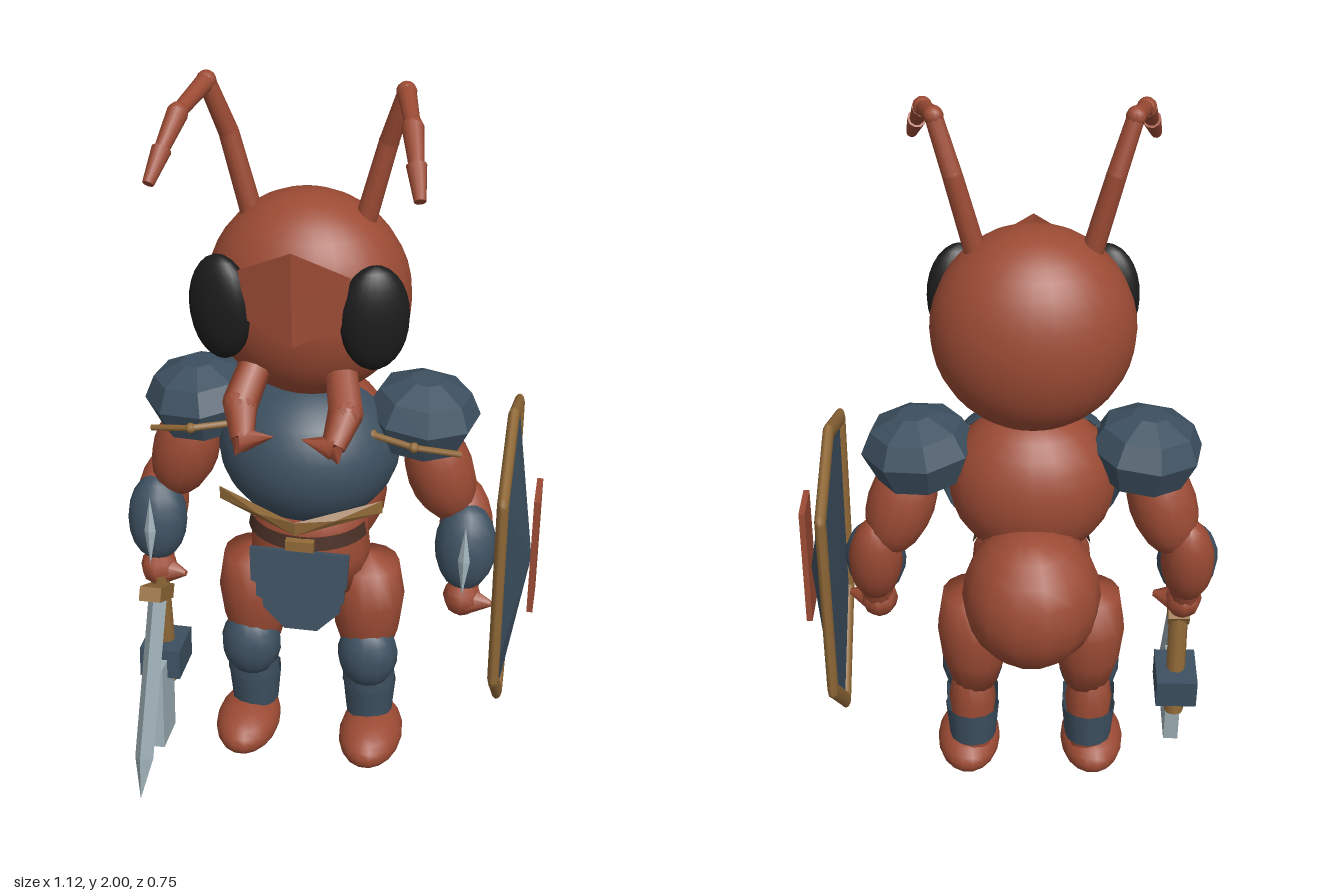
import * as THREE from 'three';

const paint = (name, color) => {
  const m = new THREE.MeshStandardMaterial({ color });
  m.name = name;
  return m;
};

export function createModel() {
  const red = paint('chitin red', 0x9c4b34);
  const blue = paint('armour blue', 0x3d5060);
  const gold = paint('trim gold', 0x926a38);
  const steel = paint('blade steel', 0x9fb0b8);
  const black = paint('eye black', 0x1c1c1c);
  const brown = paint('belt brown', 0x4a3026);
  for (const m of [blue, gold, red, brown]) m.side = THREE.DoubleSide;

  const root = new THREE.Group();
  root.name = 'antKnight';
  const body = new THREE.Group();
  body.name = 'body';
  body.position.x = -0.055;
  root.add(body);

  const V = (p) => new THREE.Vector3(...p);
  const add = (name, geo, mat, pos = [0, 0, 0], rot = [0, 0, 0]) => {
    const mesh = new THREE.Mesh(geo, mat);
    mesh.name = name;
    mesh.position.set(...pos);
    mesh.rotation.set(...rot);
    body.add(mesh);
    return mesh;
  };
  const flat = (geo) => {
    const g = geo.index ? geo.toNonIndexed() : geo;
    g.computeVertexNormals();
    return g;
  };
  const ball = (name, mat, pos, size, rot, seg = 16) =>
    add(name, new THREE.SphereGeometry(1, seg, Math.ceil(seg * 0.7)).scale(...size), mat, pos, rot);
  const box = (name, mat, pos, size, rot) => add(name, new THREE.BoxGeometry(...size), mat, pos, rot);
  // Tapered rod from a to b
  const rod = (name, mat, a, b, ra, rb, seg = 8) => {
    const d = V(b).sub(V(a));
    const mesh = add(name, new THREE.CylinderGeometry(rb, ra, d.length(), seg), mat);
    mesh.position.copy(V(a)).addScaledVector(d, 0.5);
    mesh.quaternion.setFromUnitVectors(new THREE.Vector3(0, 1, 0), d.normalize());
    return mesh;
  };
  const lathe = (pts, seg) => new THREE.LatheGeometry(pts.map((p) => new THREE.Vector2(...p)), seg);
  // Flat fan of triangles from a centre through a closed ring
  const fan = (centre, ring) => {
    const out = [];
    ring.forEach((p, i) => out.push(...centre, ...p, ...ring[(i + 1) % ring.length]));
    const g = new THREE.BufferGeometry();
    g.setAttribute('position', new THREE.Float32BufferAttribute(out, 3));
    g.computeVertexNormals();
    return g;
  };

  // Head, forehead plate
  ball('head', red, [0, 1.433, -0.003], [0.26, 0.27, 0.215], undefined, 28);
  add('foreheadPlate', fan([0, 1.52, 0.232], [
    [0, 1.64, 0.232], [-0.137, 1.57, 0.195], [-0.115, 1.44, 0.2],
    [0, 1.39, 0.23], [0.115, 1.44, 0.2], [0.137, 1.57, 0.195]]), red);

  // Torso, abdomen and waist
  ball('thorax', red, [0, 1.0, -0.02], [0.22, 0.215, 0.18], undefined, 20);
  ball('abdomen', red, [0, 0.75, -0.19], [0.182, 0.2, 0.19], undefined, 14);
  add('waist', lathe([[0, 0.54], [0.15, 0.58], [0.165, 0.68], [0.155, 0.78], [0.12, 0.86], [0, 0.9]], 16), red)
    .scale.z = 0.85;
  add('breastplate', new THREE.SphereGeometry(1, 20, 14, 0, Math.PI).scale(0.24, 0.208, 0.225), blue,
    [0, 1.0, 0]);
  add('belt', new THREE.CylinderGeometry(0.16, 0.167, 0.04, 16, 1, true, -1.3, 2.6), brown, [0, 0.772, 0.005])
    .scale.z = 0.9;
  box('buckle', gold, [0, 0.772, 0.158], [0.075, 0.03, 0.02]);

  // Overlapping pointed skirt plates: half width, top, side and tip heights, depth
  [[0.133, 0.755, 0.66, 0.615, 0.175], [0.122, 0.68, 0.6, 0.555, 0.162], [0.108, 0.61, 0.555, 0.495, 0.148]]
    .forEach(([w, top, side, tip, z], i) => {
      const end = i === 2 ? 0.045 : 0.012;
      const outline = [[-w, 0], [-w * 0.97, side - top], [-end, tip - top], [end, tip - top],
        [w * 0.97, side - top], [w, 0]];
      const shape = new THREE.Shape(outline.map((p) => new THREE.Vector2(...p)));
      add('skirtPlate' + (i + 1), new THREE.ExtrudeGeometry(shape, { depth: 0.015, bevelEnabled: false }),
        blue, [0, top, z - 0.02], [-0.15, 0, 0]);
    });

  for (const s of [1, -1]) {
    const side = s > 0 ? 'left' : 'right';
    const P = (x, y, z) => [x * s, y, z];

    // Eye
    ball(side + 'Eye', black, P(0.19, 1.452, 0.158), [0.087, 0.138, 0.05], [0, 0.35 * s, 0], 20);

    // Antenna with knobbly tip
    const ant = [P(0.14, 1.63, 0), P(0.195, 1.84, -0.005), P(0.238, 1.975, 0.025), P(0.272, 1.945, 0.17),
      P(0.292, 1.885, 0.25), P(0.31, 1.825, 0.315)];
    const radii = [[0.028, 0.025], [0.025, 0.022], [0.023, 0.018], [0.026, 0.018], [0.024, 0.014]];
    radii.forEach(([a, b], i) => rod(side + 'Antenna' + (i + 1), red, ant[i], ant[i + 1], a, b, 10));
    for (const i of [1, 2, 3])
      ball(side + 'AntennaJoint' + i, red, ant[i], [0.025, 0.025, 0.025], undefined, 10);

    // Hooked mandible
    const jaw = [P(0.11, 1.29, 0.16), P(0.132, 1.225, 0.23), P(0.113, 1.165, 0.3)];
    rod(side + 'MandibleBase', red, jaw[0], jaw[1], 0.042, 0.045, 8);
    ball(side + 'MandibleKnuckle', red, jaw[1], [0.045, 0.045, 0.045], undefined, 8);
    rod(side + 'Mandible', red, jaw[1], jaw[2], 0.045, 0.03, 8);
    rod(side + 'MandibleTip', red, jaw[2], P(0.035, 1.18, 0.3), 0.032, 0.001, 6);
    rod(side + 'MandibleBarb', red, jaw[2], P(0.128, 1.13, 0.318), 0.03, 0.002, 6);

    // Faceted shoulder guard with gold cord
    const dome = lathe([[0, -0.085], [0.115, -0.085], [0.15, 0], [0.12, 0.06], [0.045, 0.095], [0, 0.095]], 8);
    dome.rotateY(0.2);
    add(side + 'ShoulderGuard', flat(dome), blue, P(0.295, 1.105, -0.025), [0, 0, -0.08 * s]);
    const cord = [P(0.18, 1.09, 0.095), P(0.29, 1.08, 0.125), P(0.405, 1.045, 0.08)];
    for (const i of [0, 1]) rod(side + 'ShoulderTrim' + i, gold, cord[i], cord[i + 1], 0.009, 0.009, 6);
    for (const i of [0, 1]) ball(side + 'ShoulderStud' + i, gold, cord[i], [0.014, 0.014, 0.014], undefined, 8);

    // Chevron across the chest
    add(side + 'ChestChevron', fan(P(0.1, 0.885, 0.2),
      [P(0, 0.845, 0.225), P(0.215, 0.885, 0.14), P(0.215, 0.922, 0.14), P(0, 0.887, 0.23)]), gold);

    // Arm, bracer and hand
    ball(side + 'UpperArm', red, P(0.345, 0.93, -0.025), [0.09, 0.155, 0.09], [0.1, 0, 0.3 * s], 14);
    ball(side + 'Forearm', red, P(0.42, 0.75, -0.03), [0.073, 0.145, 0.075], [-0.25, 0, 0.06 * s], 14);
    ball(side + 'Bracer', blue, P(0.424, 0.725, 0.015), [0.083, 0.125, 0.07], [-0.2, 0, 0], 14);
    add(side + 'BracerRidge', flat(new THREE.OctahedronGeometry(1).scale(0.016, 0.1, 0.016)), steel,
      P(0.427, 0.722, 0.088), [-0.15, 0, 0]);
    rod(side + 'Wrist', red, P(0.422, 0.66, 0.005), P(0.425, 0.58, 0.03), 0.045, 0.04, 10);
    ball(side + 'Hand', red, P(0.422, 0.575, 0.035), [0.052, 0.055, 0.055], undefined, 8);
    const hx = 0.422 * s;
    rod(side + 'Thumb', red, [hx + 0.025, 0.57, 0.045], [hx + 0.082, 0.575, 0.06], 0.038, 0.008, 6);

    // Leg, knee guard, greave and foot
    add(side + 'Thigh', lathe([[0, 0.32], [0.06, 0.32], [0.09, 0.42], [0.102, 0.52], [0.085, 0.63], [0, 0.66]], 14),
      red, P(0.158, 0, -0.01));
    add(side + 'Shin', lathe([[0.05, 0.08], [0.055, 0.15], [0.066, 0.27], [0.05, 0.38], [0, 0.4]], 12),
      red, P(0.165, 0, -0.015));
    ball(side + 'KneeGuard', blue, P(0.166, 0.347, 0.033), [0.085, 0.106, 0.075], undefined, 12);
    const greave = new THREE.CylinderGeometry(0.076, 0.066, 0.11, 12, 1, true);
    add(side + 'Greave', greave, blue, P(0.166, 0.18, -0.005));
    add(side + 'GreaveFront', new THREE.CylinderGeometry(0.076, 0.076, 0.06, 8, 1, true, -1.3, 2.6), blue,
      P(0.166, 0.26, -0.005));
    ball(side + 'Foot', red, P(0.179, 0.072, 0.04), [0.09, 0.068, 0.145], undefined, 18);
  }

  // Sword: tilted blade and guard
  const tilt = -0.52;
  const blade = lathe([[0, -0.575], [0.047, -0.46], [0.047, 0], [0, 0]], 4);
  blade.scale(0.55, 1, 1);
  add('swordBlade', flat(blade), steel, [-0.415, 0.52, 0.09], [tilt, 0, 0]);
  box('swordGuard', gold, [-0.415, 0.53, 0.1], [0.06, 0.04, 0.15], [tilt, 0, 0]);

  // Grip, hilt block and short wide blade hanging below
  rod('swordGrip', gold, [-0.415, 0.57, 0.06], [-0.415, 0.18, 0.03], 0.027, 0.027, 8);
  box('hiltBlock', blue, [-0.415, 0.285, 0.045], [0.115, 0.09, 0.14], [-0.1, 0, 0]);
  box('shortBlade', steel, [-0.415, 0.175, 0.115], [0.042, 0.26, 0.125], [-0.1, 0, 0]);

  // Kite shield: raised face, flat back, rim and emblem plate
  const sx = 0.53;
  const kite = [[1.125, 0], [1.02, -0.263], [0.47, -0.245], [0.235, 0], [0.47, 0.245], [1.02, 0.263]];
  const ring = kite.map(([y, z]) => [sx, y, z]);
  add('shieldFace', fan([sx + 0.07, 0.7, 0], ring), blue);
  add('shieldBack', fan([sx - 0.004, 0.7, 0], [...ring].reverse()), blue);
  ring.forEach((p, i) => {
    rod('shieldRim' + (i + 1), gold, p, ring[(i + 1) % 6], 0.024, 0.024, 8).scale.x = 0.62;
    ball('shieldRimCorner' + (i + 1), gold, p, [0.015, 0.024, 0.024], undefined, 8);
  });
  box('shieldEmblem', red, [sx + 0.077, 0.735, 0], [0.016, 0.35, 0.12]);

  return root;
}
